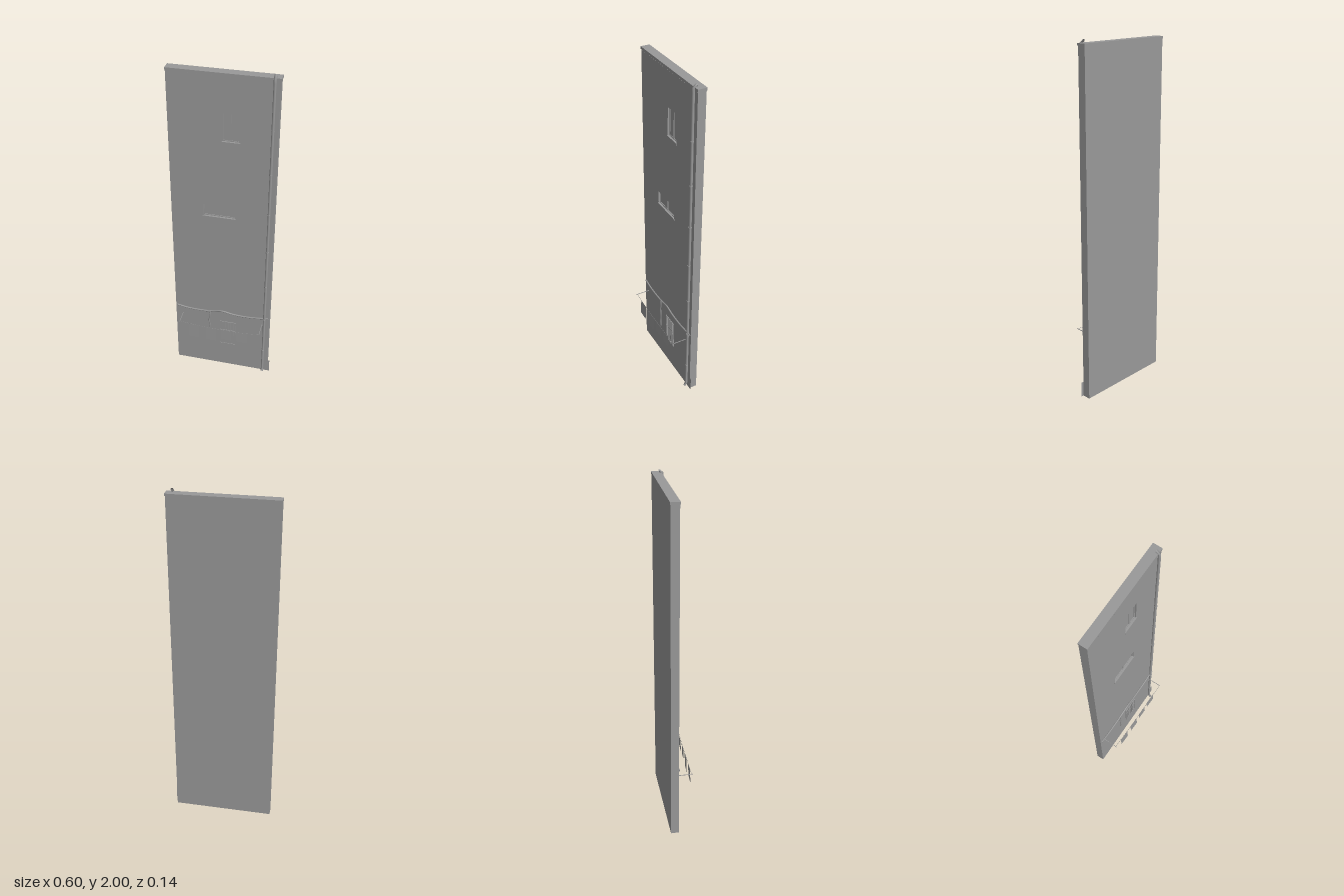
import * as THREE from 'three';

export function createModel() {
  const root = new THREE.Group();
  const grey = new THREE.MeshStandardMaterial({ color: 0x999999, side: THREE.DoubleSide });
  grey.name = 'plaster grey';

  const add = (name, geometry, parent = root) => {
    const mesh = new THREE.Mesh(geometry, grey);
    mesh.name = name;
    parent.add(mesh);
    return mesh;
  };
  const group = (name) => {
    const g = new THREE.Group();
    g.name = name;
    root.add(g);
    return g;
  };
  // Box given by its limits on each axis
  const box = (name, x0, x1, y0, y1, z0, z1, parent) => {
    const mesh = add(name, new THREE.BoxGeometry(x1 - x0, y1 - y0, z1 - z0), parent);
    mesh.position.set((x0 + x1) / 2, (y0 + y1) / 2, (z0 + z1) / 2);
    return mesh;
  };
  const tube = (name, points, radius, steps, sides, parent) => {
    const curve = new THREE.CatmullRomCurve3(points.map((p) => new THREE.Vector3(...p)), false, 'centripetal');
    return add(name, new THREE.TubeGeometry(curve, steps, radius, sides), parent);
  };

  // Wall slab: solid core and a front skin with window openings
  const FRONT = -0.022, REVEAL = 0.012;
  const windows = [
    { name: 'upperWindow', x0: -0.008, x1: 0.084, y0: 1.605, y1: 1.765 },
    { name: 'lowerWindow', x0: -0.112, x1: 0.066, y0: 1.13, y1: 1.205 },
  ];
  const rect = (path, x0, x1, y0, y1) =>
    path.moveTo(x0, y0).lineTo(x1, y0).lineTo(x1, y1).lineTo(x0, y1).closePath();
  const skin = new THREE.Shape();
  rect(skin, -0.296, 0.283, 0, 1.968);
  for (const w of windows) {
    const hole = new THREE.Path();
    rect(hole, w.x0, w.x1, w.y0, w.y1);
    skin.holes.push(hole);
  }
  box('wallCore', -0.296, 0.283, 0, 1.968, -0.068, FRONT - REVEAL);
  add('wallFront', new THREE.ExtrudeGeometry(skin, { depth: REVEAL, bevelEnabled: false }))
    .position.z = FRONT - REVEAL;

  // Window frames, mullions and sills
  for (const w of windows) {
    const g = group(w.name);
    const z0 = FRONT - REVEAL, z1 = z0 + 0.004, t = 0.005, mid = (w.x0 + w.x1) / 2;
    box('frameLeft', w.x0, w.x0 + t, w.y0, w.y1, z0, z1, g);
    box('frameRight', w.x1 - t, w.x1, w.y0, w.y1, z0, z1, g);
    box('frameTop', w.x0, w.x1, w.y1 - t, w.y1, z0, z1, g);
    box('frameBottom', w.x0, w.x1, w.y0, w.y0 + t, z0, z1, g);
    box('mullion', mid - t / 2, mid + t / 2, w.y0, w.y1, z0, z1, g);
    box('sill', w.x0 - 0.006, w.x1 + 0.006, w.y0 - 0.012, w.y0, FRONT - 0.004, FRONT + 0.003, g);
  }

  // Roof cap with a row of small dentils below
  box('roofCap', -0.298, 0.287, 1.967, 1.98, -0.07, -0.019);
  const dentils = group('dentils');
  for (let i = 0; i < 24; i++) {
    const x = -0.288 + i * 0.0242;
    box('dentil', x, x + 0.01, 1.961, 1.967, FRONT, FRONT + 0.002, dentils);
  }

  // Thin plate at the foot of the wall
  add('footPlate', new THREE.PlaneGeometry(0.035, 0.09)).position.set(0.2805, 0.045, FRONT + 0.001);

  // Drainpipe with clips
  const pipe = group('drainpipe');
  tube('pipe', [
    [0.255, 1.991, -0.032], [0.255, 1.989, -0.02], [0.255, 1.975, -0.014], [0.255, 1.95, -0.014],
    [0.255, 0.04, -0.014], [0.255, 0.022, -0.013], [0.255, 0.008, -0.002],
  ], 0.0075, 80, 10, pipe);
  for (let i = 0; i < 7; i++) {
    const y = 0.18 + i * 0.2533;
    const clip = add('clip', new THREE.CylinderGeometry(0.009, 0.009, 0.006, 10), pipe);
    clip.position.set(0.255, y, -0.014);
    box('clipStem', 0.252, 0.258, y - 0.003, y + 0.003, FRONT, -0.014, pipe);
  }

  // Sagging cable with a loose end hanging down
  const cables = group('cables');
  tube('wallCable', [
    [-0.288, 0.441, -0.019], [-0.22, 0.43, -0.018], [-0.15, 0.427, -0.018], [-0.07, 0.431, -0.018],
    [-0.008, 0.443, -0.018], [0.06, 0.431, -0.018], [0.13, 0.427, -0.018], [0.2, 0.431, -0.018],
    [0.278, 0.441, -0.019],
  ], 0.005, 48, 6, cables);
  tube('hangingCable', [
    [-0.086, 0.435, -0.018], [-0.081, 0.4, -0.017], [-0.087, 0.36, -0.018],
    [-0.082, 0.31, -0.017], [-0.087, 0.26, -0.018], [-0.083, 0.222, -0.018],
  ], 0.004, 30, 6, cables);

  // Barred window near the ground
  const grille = group('grille');
  const barX = [-0.018, -0.002, 0.014, 0.03, 0.046, 0.062, 0.078];
  for (const x of barX) box('bar', x - 0.0022, x + 0.0022, 0.177, 0.36, FRONT, -0.017, grille);
  for (const y of [0.178, 0.29, 0.358]) box('rail', -0.02, 0.08, y - 0.002, y + 0.002, FRONT, -0.018, grille);

  // Clothes line on two brackets, with hanging cloths
  const line = group('clothesLine');
  for (const x of [-0.252, 0.24]) box('bracket', x - 0.0015, x + 0.0015, 0.379, 0.382, FRONT, 0.068, line);
  tube('rope', [
    [-0.252, 0.38, 0.06], [-0.165, 0.372, 0.062], [-0.05, 0.368, 0.064],
    [0.04, 0.367, 0.064], [0.14, 0.37, 0.066], [0.24, 0.38, 0.067],
  ], 0.0009, 24, 4, line);
  for (const [x0, x1, y0, y1] of [
    [-0.197, -0.127, 0.275, 0.373], [-0.088, -0.022, 0.27, 0.369],
    [0.008, 0.071, 0.292, 0.368], [0.098, 0.17, 0.291, 0.371],
  ]) {
    const cloth = add('cloth', new THREE.PlaneGeometry(x1 - x0, y1 - y0), line);
    cloth.position.set((x0 + x1) / 2, (y0 + y1) / 2, 0.064);
    cloth.rotation.set(-0.04, -0.03, 0);
  }
  return root;
}
